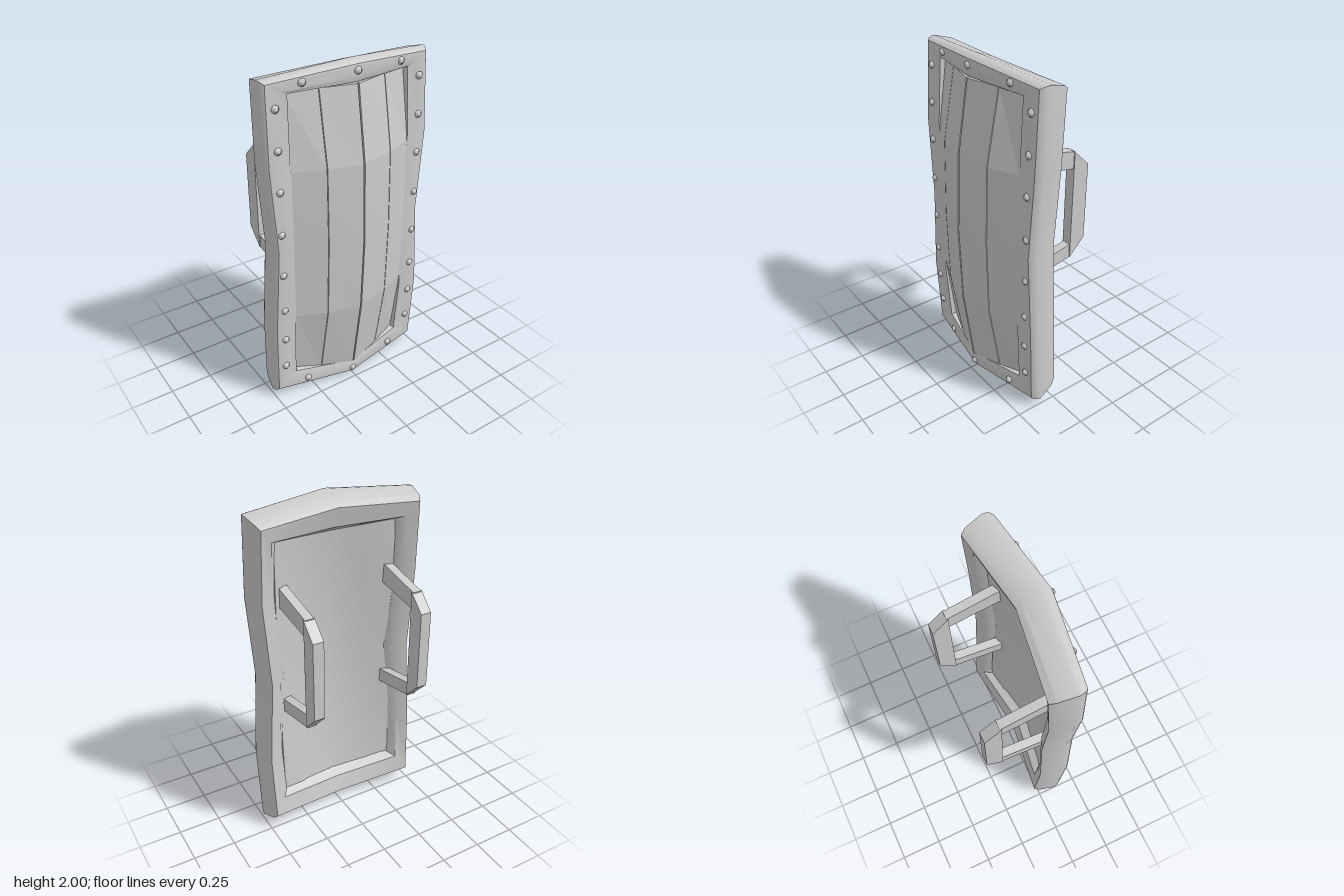
import * as THREE from 'three';
import { toCreasedNormals } from 'three/addons/utils/BufferGeometryUtils.js';

const material = new THREE.MeshStandardMaterial({ color: 0xcccccc });

// Skin a list of equal-length rings of [x, y, z]; closed joins last to first, otherwise the ends are capped.
function loft(rings, closed, crease) {
  const n = rings[0].length, m = rings.length, index = [];
  for (let i = 0; i < (closed ? m : m - 1); i++) {
    for (let j = 0; j < n; j++) {
      const a = i * n, b = ((i + 1) % m) * n, k = (j + 1) % n;
      index.push(a + j, b + j, b + k, a + j, b + k, a + k);
    }
  }
  if (!closed) {
    const end = (m - 1) * n;
    // pair up front and back points so the caps follow a bent section
    for (let j = 0; j < n / 2 - 1; j++) {
      const k = n - 1 - j;
      index.push(j, j + 1, k - 1, j, k - 1, k);
      index.push(end + j, end + k - 1, end + j + 1, end + j, end + k, end + k - 1);
    }
  }
  const geometry = new THREE.BufferGeometry();
  geometry.setAttribute('position', new THREE.Float32BufferAttribute(rings.flat(2), 3));
  geometry.setIndex(index);
  return toCreasedNormals(geometry, crease);
}

function add(parent, name, geometry) {
  const mesh = new THREE.Mesh(geometry, material);
  mesh.name = name;
  parent.add(mesh);
  return mesh;
}

// Bulged surfaces: depth at the centre, at x = 0.2 and at the edge for each row
const rowY = [0.1, 0.57, 1.02, 1.47, 1.88];
const symmetricRows = (end, quarter, middle) => [end, quarter, middle, quarter, end];
const frontZ = symmetricRows([0.225, 0.172, 0.115], [0.29, 0.247, 0.172], [0.307, 0.258, 0.179]);
const backZ = symmetricRows([0.115, 0.075, 0.045], [0.165, 0.122, 0.06], [0.18, 0.135, 0.065]);

function depthAt(x, [centre, middle, edge]) {
  const a = Math.abs(x);
  return a < 0.2
    ? THREE.MathUtils.lerp(centre, middle, a / 0.2)
    : THREE.MathUtils.lerp(middle, edge, (a - 0.2) / 0.17);
}

// Curved slab across the given x values (descending): front and back are [rows, offset]
function slab(xs, [front, frontOffset], [back, backOffset], crease) {
  const rings = rowY.map((y, row) => {
    const rise = row === 0 ? 0.045 / 0.37 : 0;
    const point = (x, rows, offset) => [x, y + rise * Math.abs(x), depthAt(x, rows[row]) - offset];
    return [
      ...xs.map((x) => point(x, front, frontOffset)),
      ...[...xs].reverse().map((x) => point(x, back, backOffset)),
    ];
  });
  return loft(rings, false, crease);
}

// Frame: one section [inset on the sides, inset at the ends, depth] swept around the outline
function frameGeometry() {
  const section = [
    [0.148, 0.24, 0.06], [0.135, 0.225, 0.04], [0.102, 0.2, 0], [0.036, 0.075, -0.03], [0.02, 0.042, 0],
    [0, 0, 0.1], [0.003, 0.003, 0.122], [0.01, 0.012, 0.14], [0.02, 0.024, 0.152], [0.034, 0.036, 0.155],
    [0.1, 0.1, 0.155], [0.14, 0.125, 0.151], [0.148, 0.135, 0.11],
  ];
  // outline points: x, y, depth shift, inset direction x and y
  const half = [
    [0.505, 0.045, 0, -1, 0.8], [0.513, 0.5, 0.022, -1, 0], [0.48, 1.02, 0.025, -1, 0],
    [0.513, 1.5, 0.022, -1, 0], [0.505, 1.96, 0, -1, -0.65],
  ];
  const mirrored = [...half].reverse().map(([x, y, z, dx, dy]) => [-x, y, z, -dx, dy]);
  const outline = [[0, 0, 0.065, 0, 0.8], ...half, [0, 2, 0.065, 0, -0.9], ...mirrored];
  const rings = outline.map(([x, y, z, dx, dy]) => section.map(([sx, sy, d]) => [x + dx * sx, y + dy * sy, z + d]));
  return loft(rings, true, 0.5);
}

// Flat bar cut from a [z, y] outline and centred on x = 0
function bar(points, width) {
  const shape = new THREE.Shape(points.map(([z, y]) => new THREE.Vector2(-z, y)));
  const geometry = new THREE.ExtrudeGeometry(shape, { depth: width, bevelEnabled: false });
  geometry.translate(0, 0, -width / 2);
  return geometry.rotateY(Math.PI / 2);
}

function createHandle(name, x) {
  const handle = new THREE.Group();
  handle.name = name;
  add(handle, 'upperArm', bar([[0.1, 1.552], [-0.22, 1.483], [-0.22, 1.383], [0.1, 1.436]], 0.052));
  add(handle, 'lowerArm', bar([[0.1, 0.85], [-0.22, 0.912], [-0.22, 0.828], [0.1, 0.768]], 0.052));
  add(handle, 'grip', bar([[-0.212, 1.485], [-0.31, 1.39], [-0.31, 0.93], [-0.212, 0.83]], 0.064));
  handle.position.x = x;
  return handle;
}

// Low domed rivet on a washer, facing +z
function rivetGeometry() {
  const profile = [[0.021, -0.012], [0.021, 0.003], [0.015, 0.005], [0.014, 0.01], [0.009, 0.014], [0, 0.016]];
  return new THREE.LatheGeometry(profile.map(([r, h]) => new THREE.Vector2(r, h)), 12).rotateX(Math.PI / 2);
}

export function createModel() {
  const shield = new THREE.Group();
  shield.name = 'shield';

  add(shield, 'frame', frameGeometry());
  add(shield, 'backing', slab([0.37, 0.2, 0, -0.2, -0.37], [frontZ, 0.012], [backZ, 0], 0.9));

  // Four planks with narrow grooves between them
  for (const [x1, x0] of [[0.37, 0.202], [0.198, 0.004], [-0.004, -0.198], [-0.202, -0.37]]) {
    add(shield, 'plank', slab([x1, x0], [frontZ, 0], [frontZ, 0.03], 0.08));
  }

  shield.add(createHandle('leftHandle', 0.317), createHandle('rightHandle', -0.342));

  // Rivets down both sides and along the top and bottom
  const rivet = rivetGeometry();
  const placeRivet = (x, y, z) => add(shield, 'rivet', rivet).position.set(x, y, z);
  for (const side of [-1, 1]) {
    for (const y of [1.82, 1.605, 1.38, 1.13, 0.875, 0.64, 0.435, 0.235]) {
      const lift = 0.022 * Math.min(1, (0.96 - Math.abs(y - 1)) / 0.46);
      placeRivet(side * 0.44, y, 0.156 + lift);
    }
    placeRivet(side * 0.298, 1.93, 0.178);
    placeRivet(side * 0.298, 0.08, 0.178);
  }
  placeRivet(0, 1.945, 0.218);
  placeRivet(0, 0.045, 0.218);

  return shield;
}
